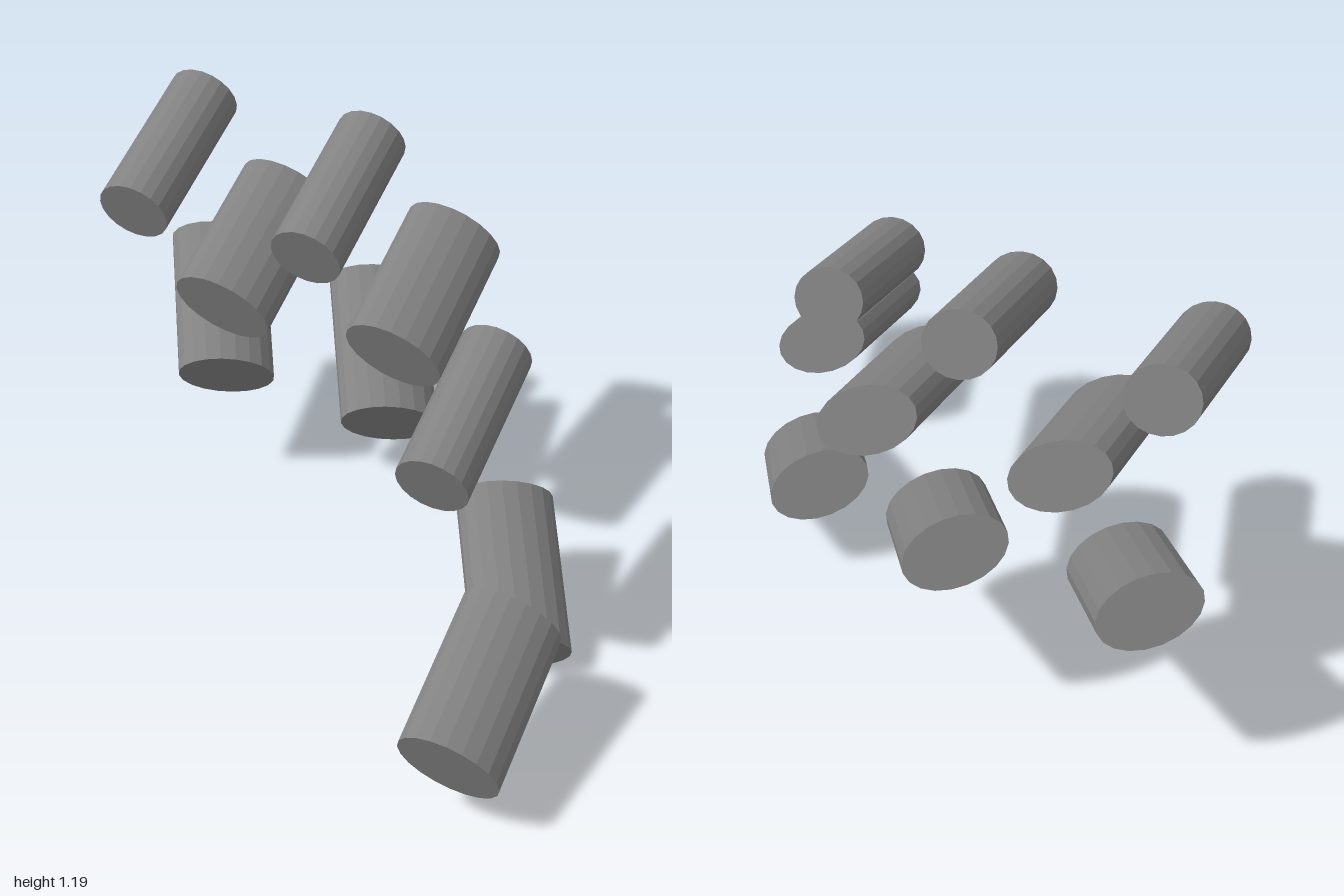
import * as THREE from 'three';

const material = new THREE.MeshStandardMaterial({ color: 0x828282, flatShading: true });

// Elliptical rod: 'front' is the centre of its front end, 'axis' runs from back end to front end,
// 'roll' turns the wide direction of the section about the axis (degrees)
function rod(name, front, { axis, wide, narrow, roll }) {
  const a = new THREE.Vector3(...axis);
  const n = a.clone().normalize();
  const side = new THREE.Vector3(n.z, 0, -n.x).normalize();
  const e = side.applyAxisAngle(n, THREE.MathUtils.degToRad(roll));
  const f = e.clone().cross(n);

  const geometry = new THREE.CylinderGeometry(1, 1, 1, 20);
  geometry.scale(wide, a.length(), narrow);
  const mesh = new THREE.Mesh(geometry, material);
  mesh.name = name;
  mesh.quaternion.setFromRotationMatrix(new THREE.Matrix4().makeBasis(e, n, f));
  mesh.position.set(...front).addScaledVector(a, -0.5);
  return mesh;
}

// Three rows of rods; each row shares one section and direction
const rows = [
  {
    name: 'upperRod',
    shape: { axis: [0.213, -0.125, 0.388], wide: 0.097, narrow: 0.0885, roll: -24 },
    fronts: [[-0.622, 0.985, 0.284], [-0.158, 0.985, 0.07], [0.499, 0.698, 0.19]],
  },
  {
    name: 'middleRod',
    shape: { axis: [0.215, -0.125, 0.387], wide: 0.1375, narrow: 0.0885, roll: -28 },
    fronts: [[-0.437, 0.72, 0.141], [0.026, 0.72, -0.071], [0.891, 0.208, 0.455]],
  },
  {
    name: 'lowerRod',
    shape: { axis: [0.343, -0.195, 0.23], wide: 0.1375, narrow: 0.0885, roll: -18 },
    fronts: [[-0.581, 0.377, 0.034], [-0.118, 0.377, -0.178], [0.577, 0.087, -0.061]],
  },
];

export function createModel() {
  const model = new THREE.Group();
  model.name = 'rodCluster';
  for (const { name, shape, fronts } of rows) {
    fronts.forEach((front, i) => model.add(rod(`${name}${i + 1}`, front, shape)));
  }
  return model;
}
